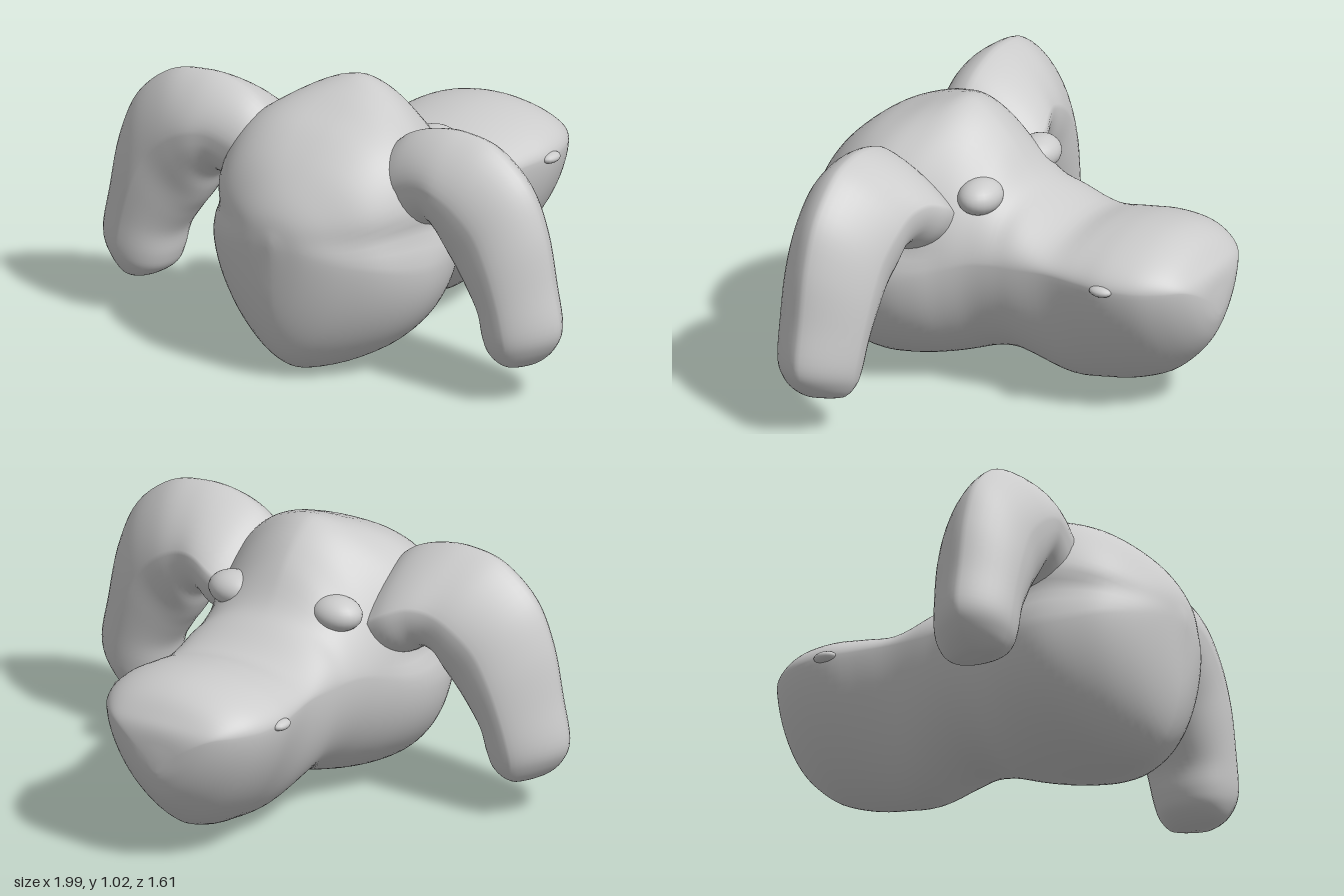
import * as THREE from 'three';

const material = new THREE.MeshStandardMaterial({ color: 0xcccccc });
const { smoothstep } = THREE.MathUtils;

// Body stations, back to front: z, bottom, widest height, top, half width, roundness of the upper half
const BODY = [
  [-0.81, 0.39, 0.43, 0.46, 0.03, 2.0],
  [-0.80, 0.345, 0.50, 0.54, 0.13, 1.9],
  [-0.77, 0.275, 0.54, 0.59, 0.21, 1.9],
  [-0.71, 0.20, 0.545, 0.65, 0.275, 1.9],
  [-0.62, 0.125, 0.545, 0.685, 0.325, 1.9],
  [-0.50, 0.075, 0.545, 0.69, 0.345, 1.9],
  [-0.38, 0.048, 0.545, 0.675, 0.33, 1.9],
  [-0.25, 0.04, 0.545, 0.655, 0.315, 2.0],
  [-0.12, 0.09, 0.54, 0.72, 0.325, 2.0],
  [-0.04, 0.11, 0.54, 0.78, 0.335, 1.7],
  [0.05, 0.10, 0.53, 0.90, 0.355, 1.55],
  [0.14, 0.07, 0.50, 0.985, 0.39, 1.65],
  [0.23, 0.045, 0.47, 1.025, 0.43, 1.75],
  [0.33, 0.025, 0.45, 1.0, 0.455, 2.1],
  [0.44, 0.01, 0.45, 0.955, 0.455, 2.5],
  [0.55, 0.002, 0.46, 0.905, 0.415, 2.5],
  [0.65, 0.025, 0.48, 0.83, 0.35, 2.3],
  [0.73, 0.10, 0.50, 0.74, 0.25, 2.0],
  [0.78, 0.25, 0.52, 0.65, 0.14, 2.0],
  [0.80, 0.50, 0.53, 0.56, 0.02, 2.0],
];

// Arm stations, shoulder to tip: outer x, outer y, inner x, inner y, half depth, middle z
const ARM = [
  [0.25, 0.85, 0.32, 0.54, 0.20, 0.32],
  [0.34, 0.925, 0.41, 0.57, 0.21, 0.325],
  [0.45, 0.965, 0.47, 0.60, 0.205, 0.345],
  [0.57, 0.975, 0.515, 0.57, 0.20, 0.365],
  [0.71, 0.945, 0.545, 0.51, 0.195, 0.37],
  [0.85, 0.83, 0.575, 0.46, 0.185, 0.375],
  [0.925, 0.66, 0.62, 0.40, 0.18, 0.38],
  [0.965, 0.46, 0.67, 0.32, 0.17, 0.385],
  [0.995, 0.30, 0.69, 0.235, 0.16, 0.39],
  [0.965, 0.215, 0.715, 0.18, 0.14, 0.39],
  [0.90, 0.155, 0.77, 0.145, 0.10, 0.39],
  [0.84, 0.135, 0.83, 0.135, 0.015, 0.39],
];

// Smoothly interpolate a table of stations
function smoothRows(rows, steps) {
  const spline = new THREE.CubicInterpolant(rows.map((_, i) => i), rows.flat(), rows[0].length);
  const count = (rows.length - 1) * steps;
  return Array.from({ length: count + 1 }, (_, i) => Array.from(spline.evaluate(i / steps)));
}

// Skin closed rings, which run counter-clockwise about the direction of travel
function loft(rows, sides, ringPoint) {
  const positions = [], index = [];
  const rings = rows.map((r) =>
    Array.from({ length: sides }, (_, j) => ringPoint(r, j / sides * Math.PI * 2)));
  for (const p of rings.flat()) positions.push(...p.toArray());
  for (let i = 0; i < rows.length - 1; i++)
    for (let j = 0; j < sides; j++) {
      const k = (j + 1) % sides;
      const a = i * sides + j, b = i * sides + k, c = a + sides, d = b + sides;
      index.push(a, b, c, b, d, c);
    }
  // Close both ends
  const first = rows.length * sides, end = first - sides;
  for (const ring of [rings[0], rings[rings.length - 1]]) {
    const centre = new THREE.Vector3();
    for (const p of ring) centre.addScaledVector(p, 1 / sides);
    positions.push(...centre.toArray());
  }
  for (let j = 0; j < sides; j++) {
    const k = (j + 1) % sides;
    index.push(first, k, j, first + 1, end + j, end + k);
  }
  const g = new THREE.BufferGeometry();
  g.setAttribute('position', new THREE.Float32BufferAttribute(positions, 3));
  g.setIndex(index);
  g.computeVertexNormals();
  return g;
}

// Cosine or sine bent to a superellipse of exponent n
const bend = (v, n) => Math.sign(v) * Math.abs(v) ** (2 / n);

function part(name, geometry) {
  const mesh = new THREE.Mesh(geometry, material);
  mesh.name = name;
  return mesh;
}

// The underside narrows to a soft keel at both ends; the front half has a
// shallow groove between the domed top and the lower body
function createBody() {
  return loft(smoothRows(BODY, 4), 80, ([z, bottom, wide, top, w, nTop], a) => {
    const s = Math.sin(a), up = s >= 0;
    const nBottom = 2 - 0.4 * smoothstep(-z, 0.1, 0.4) - 0.35 * smoothstep(z, 0.4, 0.7);
    const n = up ? nTop : nBottom;
    const y = wide + (up ? top - wide : wide - bottom) * bend(s, n);
    const groove = 0.06 * smoothstep(z, 0.1, 0.35) * Math.exp(-(((y - 0.57) / 0.05) ** 2));
    return new THREE.Vector3(w * bend(Math.cos(a), n) * (1 - groove), y, z);
  });
}

// The outer side of the arm rises to a keel at z = 0.4, the inner side is round
function createArm(side) {
  return loft(smoothRows(ARM, 5), 40, ([ox, oy, ix, iy, depth, z], a) => {
    const c = Math.cos(a), n = c > 0 ? 1.45 : 2.2;
    const u = bend(c, n) / 2, v = bend(Math.sin(a), n);
    return new THREE.Vector3(
      side * ((ox + ix) / 2 + (ox - ix) * u),
      (oy + iy) / 2 + (oy - iy) * u,
      z + (0.4 - z) * Math.max(0, 2 * u) + side * depth * v);
  });
}

export function createModel() {
  const model = new THREE.Group();
  model.name = 'model';
  model.add(part('body', createBody()));

  for (const [label, side] of [['left', 1], ['right', -1]]) {
    model.add(part(label + 'Arm', createArm(side)));

    // Small knob at the back of the shoulder
    const knob = part(label + 'Knob', new THREE.SphereGeometry(1, 24, 16));
    knob.scale.set(0.1, 0.065, 0.08);
    knob.position.set(side * 0.22, 0.755, 0.06);
    model.add(knob);

    // Little bump on the rear side edge
    const bump = part(label + 'Bump', new THREE.SphereGeometry(1, 16, 10));
    bump.scale.set(0.03, 0.02, 0.045);
    bump.position.set(side * 0.34, 0.545, -0.5);
    model.add(bump);
  }
  return model;
}
